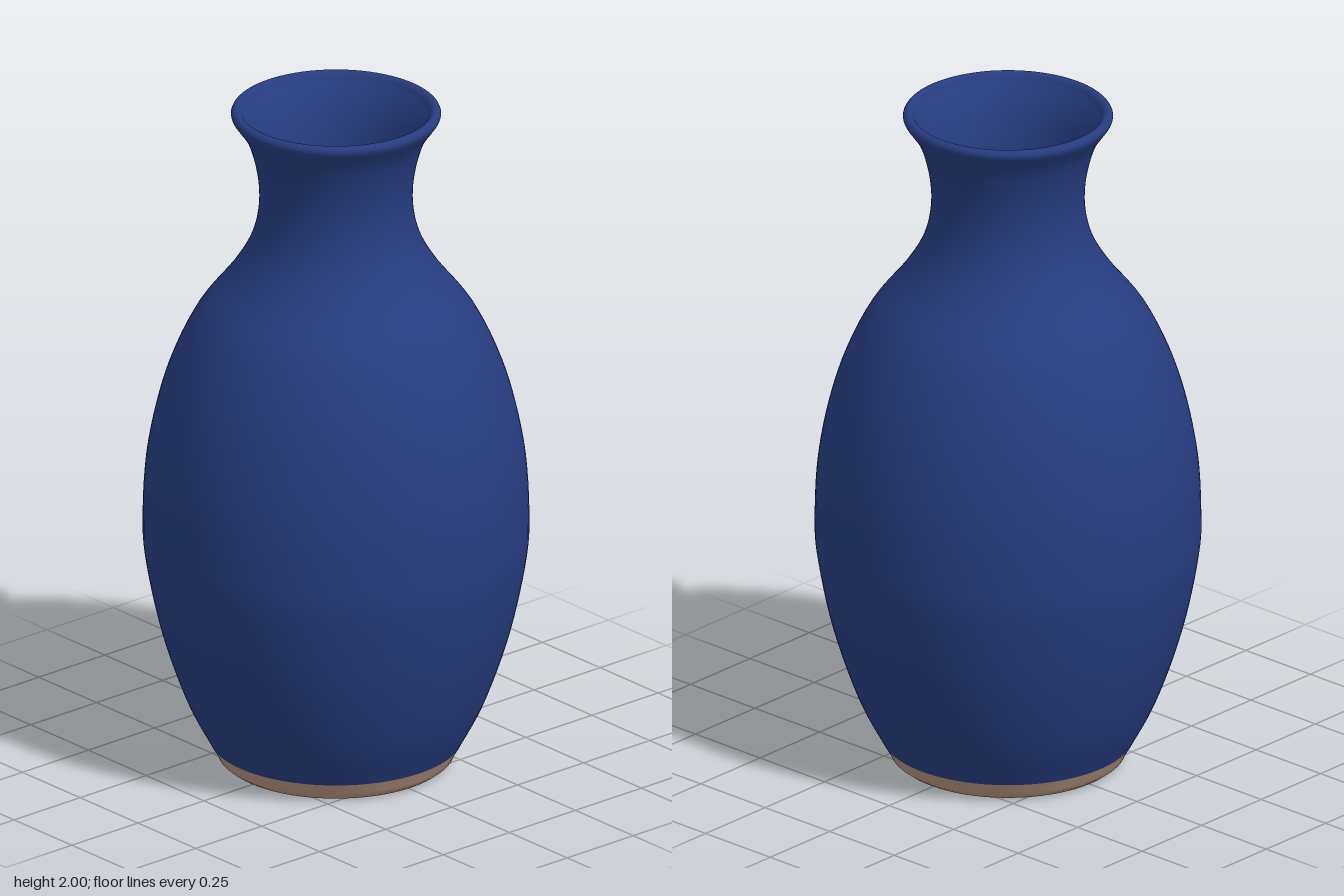
import * as THREE from 'three';

const SEGMENTS = 96;
const toPoints = (list) => list.map(([r, y]) => new THREE.Vector2(r, y));
const smooth = (list, n) => new THREE.SplineCurve(toPoints(list)).getPoints(n);

export function createModel() {
  const glaze = new THREE.MeshStandardMaterial({ color: 0x263c80 });
  glaze.name = 'blue glaze';
  const clay = new THREE.MeshStandardMaterial({ color: 0xb3937c });
  clay.name = 'bare clay';

  const vase = new THREE.Group();
  vase.name = 'vase';
  const addLathe = (name, points, material) => {
    const mesh = new THREE.Mesh(new THREE.LatheGeometry(points, SEGMENTS), material);
    mesh.name = name;
    vase.add(mesh);
  };

  // Unglazed foot: flat underside and a softly rounded edge
  addLathe('foot', toPoints([
    [0, 0], [0.3, 0], [0.322, 0.004], [0.336, 0.015], [0.343, 0.03], [0.36, 0.06],
  ]), clay);

  // Belly, shoulder and neck, then over the rolled lip
  const outside = smooth([
    [0.36, 0.06], [0.43, 0.2], [0.5, 0.41], [0.543, 0.62], [0.551, 0.75],
    [0.538, 0.95], [0.488, 1.17], [0.405, 1.36], [0.3, 1.5], [0.243, 1.6],
    [0.22, 1.7], [0.224, 1.8], [0.25, 1.9], [0.285, 1.957],
  ], 72);
  const lip = smooth([
    [0.285, 1.957], [0.297, 1.975], [0.299, 1.988], [0.292, 1.998],
    [0.282, 2], [0.272, 1.994], [0.264, 1.98],
  ], 18);

  // Hollow inside, following the outer wall down to the floor
  const inside = smooth([
    [0.264, 1.98], [0.24, 1.945], [0.214, 1.89], [0.19, 1.8], [0.184, 1.7],
    [0.205, 1.6], [0.262, 1.49], [0.367, 1.345], [0.45, 1.16], [0.5, 0.95],
    [0.513, 0.75], [0.506, 0.62], [0.463, 0.41], [0.393, 0.2], [0.335, 0.08],
  ], 64);
  addLathe('body', [...outside, ...lip.slice(1), ...inside.slice(1)], glaze);

  // Inner floor
  addLathe('innerFloor', toPoints([[0.335, 0.08], [0, 0.08]]), glaze);

  return vase;
}
